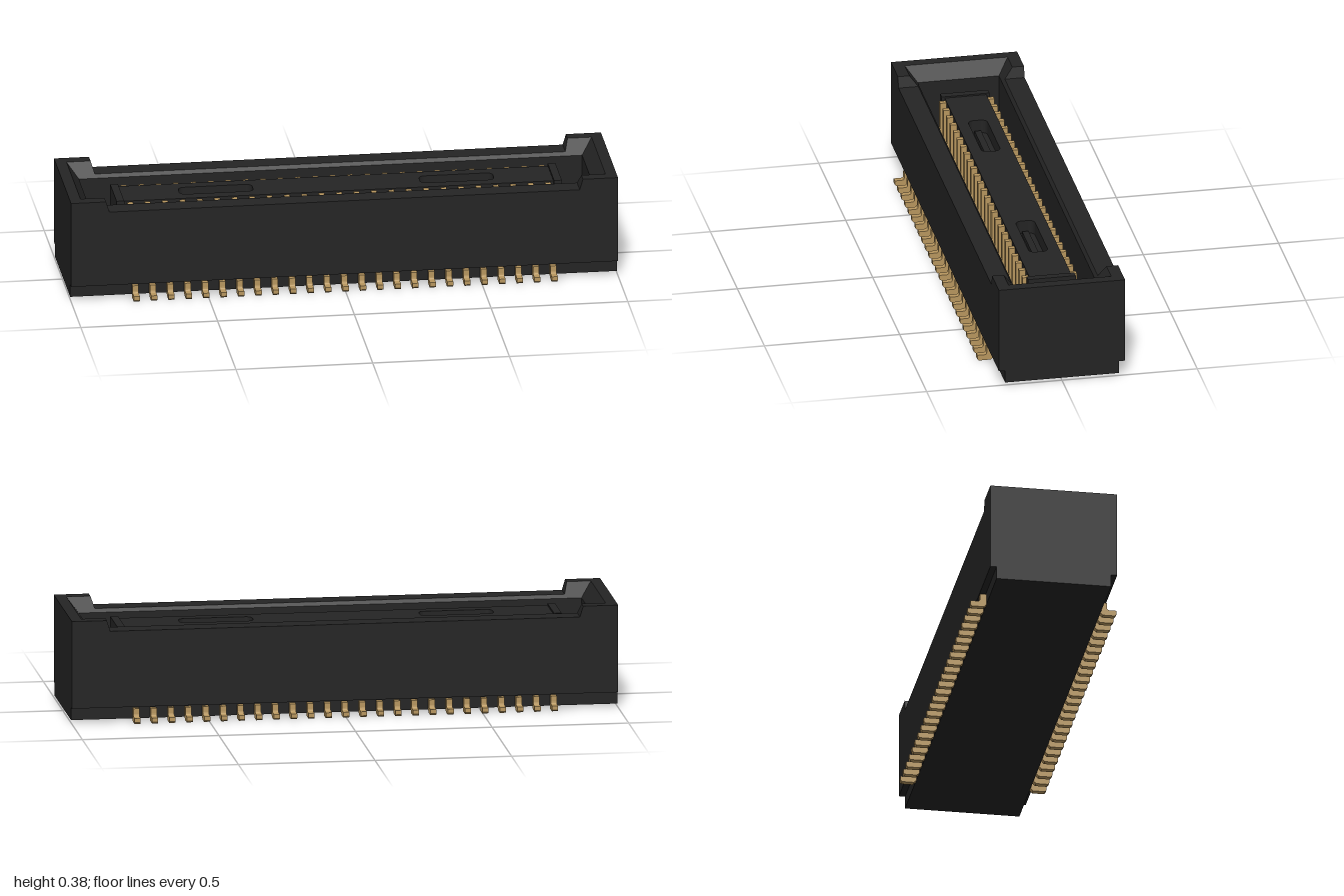
import * as THREE from 'three';

const black = new THREE.MeshStandardMaterial({ color: 0x242424 });
black.name = 'black plastic';
const gold = new THREE.MeshStandardMaterial({ color: 0xb8975f });
gold.name = 'gold contact';

function add(parent, name, geometry, material, x = 0, y = 0, z = 0) {
  const mesh = new THREE.Mesh(geometry, material);
  mesh.name = name;
  mesh.position.set(x, y, z);
  parent.add(mesh);
  return mesh;
}

// Box from x/y/z ranges
function block(parent, name, x0, x1, y0, y1, z0, z1, material = black) {
  return add(parent, name, new THREE.BoxGeometry(x1 - x0, y1 - y0, z1 - z0), material,
    (x0 + x1) / 2, (y0 + y1) / 2, (z0 + z1) / 2);
}

// Tapered block: bottom and top rectangles are [x0, x1, z0, z1]
function taper(parent, name, bottom, y0, top, y1) {
  const geometry = new THREE.BoxGeometry(1, 1, 1);
  const p = geometry.attributes.position;
  for (let i = 0; i < p.count; i++) {
    const up = p.getY(i) > 0;
    const r = up ? top : bottom;
    p.setXYZ(i, r[p.getX(i) > 0 ? 1 : 0], up ? y1 : y0, r[p.getZ(i) > 0 ? 3 : 2]);
  }
  geometry.computeVertexNormals();
  return add(parent, name, geometry, black);
}

function rectangle(path, w, d) {
  path.moveTo(-w, -d);
  path.lineTo(w, -d);
  path.lineTo(w, d);
  path.lineTo(-w, d);
  path.closePath();
  return path;
}

// Slot outline with rounded corners
function slotHole(cx, w, d, r) {
  const path = new THREE.Path();
  path.absarc(cx + w - r, d - r, r, 0, Math.PI / 2);
  path.absarc(cx - w + r, d - r, r, Math.PI / 2, Math.PI);
  path.absarc(cx - w + r, -d + r, r, Math.PI, Math.PI * 1.5);
  path.absarc(cx + w - r, -d + r, r, Math.PI * 1.5, Math.PI * 2);
  path.closePath();
  return path;
}

function extrudeUp(shape, height) {
  return new THREE.ExtrudeGeometry(shape, { depth: height, bevelEnabled: false, curveSegments: 6 })
    .rotateX(-Math.PI / 2);
}

export function createModel() {
  const model = new THREE.Group();
  model.name = 'boardConnector';

  // Housing: narrow base and wider wall ring
  const housing = new THREE.Group();
  housing.name = 'housing';
  model.add(housing);
  block(housing, 'base', -1, 1, 0.01, 0.09, -0.21, 0.21);
  const ring = rectangle(new THREE.Shape(), 1, 0.233);
  ring.holes.push(rectangle(new THREE.Path(), 0.92, 0.15));
  add(housing, 'wallRing', extrudeUp(ring, 0.27), black, 0, 0.057, 0);

  // Chamfered rims: low along the sides, raised around both ends
  taper(housing, 'frontRim', [-0.93, 0.93, 0.15, 0.233], 0.327, [-0.93, 0.93, 0.16, 0.233], 0.34);
  taper(housing, 'backRim', [-0.93, 0.93, -0.233, -0.15], 0.327, [-0.93, 0.93, -0.233, -0.16], 0.34);
  for (const s of [-1, 1]) {
    const span = (inner, outer) => (s > 0 ? [inner, outer] : [-outer, -inner]);
    taper(housing, 'endRim', [...span(0.92, 1), -0.233, 0.233], 0.327,
      [...span(0.96, 1), -0.233, 0.233], 0.38);
    taper(housing, 'frontCorner', [...span(0.856, 1), 0.15, 0.233], 0.327,
      [...span(0.872, 1), 0.19, 0.233], 0.38);
    taper(housing, 'backCorner', [...span(0.856, 1), -0.233, -0.15], 0.327,
      [...span(0.872, 1), -0.233, -0.19], 0.38);
  }

  // Central tongue with two shallow slots and wider end caps
  const tongue = new THREE.Group();
  tongue.name = 'tongue';
  model.add(tongue);
  block(tongue, 'tongueCore', -0.785, 0.785, 0.08, 0.27, -0.077, 0.077);
  const top = rectangle(new THREE.Shape(), 0.785, 0.077);
  top.holes.push(slotHole(-0.44, 0.135, 0.035, 0.022), slotHole(0.44, 0.135, 0.035, 0.022));
  add(tongue, 'tongueTop', extrudeUp(top, 0.05), black, 0, 0.27, 0);
  for (const s of [-1, 1]) {
    const x = s * 0.8;
    taper(tongue, 'tongueEnd', [x - 0.016, x + 0.016, -0.093, 0.093], 0.08,
      [x - 0.014, x + 0.014, -0.088, 0.088], 0.325);
    block(tongue, 'slotStep', s * 0.44 - 0.12, s * 0.44 + 0.12, 0.26, 0.285, -0.012, 0.012);
  }

  // L-shaped solder leg profile, drawn in (z, y)
  const leg = new THREE.Shape();
  leg.moveTo(0.209, 0.01);
  leg.lineTo(0.219, 0);
  leg.lineTo(0.262, 0);
  leg.lineTo(0.268, 0.006);
  leg.lineTo(0.268, 0.021);
  leg.lineTo(0.242, 0.021);
  leg.quadraticCurveTo(0.233, 0.021, 0.233, 0.03);
  leg.lineTo(0.233, 0.05);
  leg.lineTo(0.209, 0.05);
  leg.closePath();
  const legGeometry = new THREE.ExtrudeGeometry(leg, { depth: 0.022, bevelEnabled: false, curveSegments: 3 })
    .translate(0, 0, -0.011).rotateY(-Math.PI / 2);

  // Two rows of 25 contacts and legs
  const pins = new THREE.Group();
  pins.name = 'contacts';
  model.add(pins);
  for (let i = 0; i < 25; i++) {
    const x = -0.764 + i * 0.06367;
    for (const s of [-1, 1]) {
      add(pins, 'solderLeg', legGeometry, gold, x, 0, 0).rotation.y = s > 0 ? 0 : Math.PI;
      block(pins, 'contact', x - 0.01, x + 0.01, 0.08, 0.315, s * 0.088 - 0.012, s * 0.088 + 0.012, gold);
    }
  }
  return model;
}
